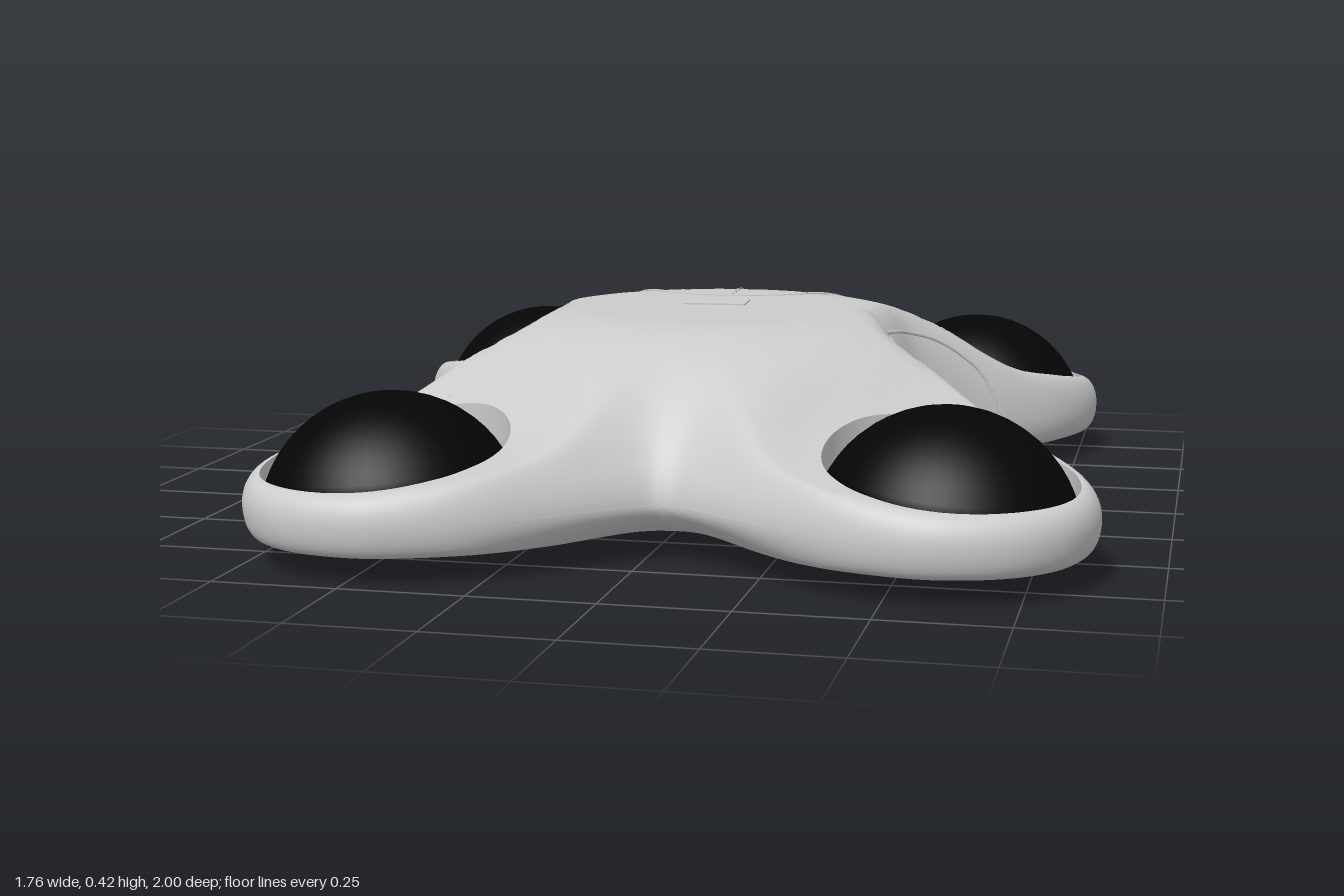
import * as THREE from 'three';
import { mergeVertices } from 'three/addons/utils/BufferGeometryUtils.js';

const V2 = (x, y) => new THREE.Vector2(x, y);
const { smoothstep, lerp } = THREE.MathUtils;

const HUB = V2(0.551, 0.683);  // centre of one arm-end opening
const HOLE = 0.244;            // its radius
const EDGE_Y = 0.115;          // height of the widest line of the shell

// Outline of one quarter of the shell, from the front notch round the arm to the waist
const outline = new THREE.SplineCurve([
  [0, 0.69], [0.03, 0.696], [0.09, 0.737], [0.187, 0.814], [0.31, 0.9], [0.43, 0.949], [0.55, 0.966],
  [0.684, 0.93], [0.783, 0.84], [0.833, 0.7], [0.816, 0.58], [0.745, 0.455], [0.64, 0.345], [0.54, 0.255],
  [0.456, 0.14], [0.433, 0.06], [0.415, 0],
].map(([x, z]) => V2(x, z))).getPoints(72);

// Distance from a point to the outline
function edgeDistance(x, z) {
  let best = Infinity;
  for (let i = 0; i < outline.length - 1; i++) {
    const a = outline[i], b = outline[i + 1];
    const dx = b.x - a.x, dz = b.y - a.y;
    const t = THREE.MathUtils.clamp(((x - a.x) * dx + (z - a.y) * dz) / (dx * dx + dz * dz), 0, 1);
    best = Math.min(best, Math.hypot(x - a.x - t * dx, z - a.y - t * dz));
  }
  return best;
}

const hubDistance = (x, z) => Math.hypot(x - HUB.x, z - HUB.y);

// Rounded shoulder: 0 on the outline, 1 well inside; steep at the waist, narrow round the openings
function shoulder(x, z, scale) {
  const bodyWidth = lerp(0.1, 0.23, smoothstep(z, 0.1, 0.55));
  const width = scale * lerp(0.037, bodyWidth, smoothstep(hubDistance(x, z), 0.29, 0.55));
  const k = 1 - Math.min(1, edgeDistance(x, z) / width);
  return Math.sqrt(1 - k * k);
}

// Upper skin: flat middle, falling along the arms, with a dip beside each opening
function topY(px, pz) {
  const x = Math.abs(px), z = Math.abs(pz), r = Math.hypot(x, z);
  const dip = 0.035 * (1 - smoothstep(hubDistance(x, z), 0.25, 0.4)) * (1 - smoothstep(r, 0.6, 0.9));
  const h = lerp(0.42, 0.2, smoothstep(r, 0.3, 0.95)) - dip - 0.03 * smoothstep(r, 0.88, 1.13);
  return lerp(EDGE_Y, h, shoulder(x, z, 1));
}

function bottomY(px, pz) {
  const x = Math.abs(px), z = Math.abs(pz);
  const h = lerp(0.017, 0.052, smoothstep(Math.hypot(x, z), 0.1, 1.0));
  return lerp(EDGE_Y, h, shoulder(x, z, 0.8));
}

// Closed border of the quarter: outline, then the two symmetry axes, denser near the outline
function quarterBorder() {
  const border = outline.map((p) => p.clone());
  for (let i = 1; i <= 16; i++) border.push(V2(0.415 * (1 - (i / 16) ** 2), 0));
  for (let i = 1; i <= 20; i++) border.push(V2(0, 0.69 * (1 - (1 - i / 20) ** 2)));
  return border;
}

// Mirrors a quarter grid into all four quarters and welds it
function mirroredGrid(columns, flip) {
  const pos = [], idx = [];
  const rows = columns[0].length;
  for (const sx of [1, -1]) for (const sz of [1, -1]) {
    const base = pos.length / 3;
    const turned = (sx * sz < 0) !== flip;
    columns.forEach((col, i) => col.forEach((p, j) => {
      pos.push(p.x * sx, p.y, p.z * sz);
      if (i === columns.length - 1 || j === rows - 1) return;
      const a = base + i * rows + j, b = a + 1, c = a + rows, d = c + 1;
      if (turned) idx.push(a, c, b, b, c, d);
      else idx.push(a, b, c, b, d, c);
    }));
  }
  let geo = new THREE.BufferGeometry();
  geo.setAttribute('position', new THREE.Float32BufferAttribute(pos, 3));
  geo.setIndex(idx);
  geo = mergeVertices(geo, 1e-5);
  geo.computeVertexNormals();
  return geo;
}

// Columns run from the rim of the opening out to the border
const rimPoint = (p) => p.clone().sub(HUB).setLength(HOLE).add(HUB);
function surfaceColumns(border, heightAt) {
  const N = 20;
  return border.map((p) => Array.from({ length: N + 1 }, (_, j) => {
    const q = rimPoint(p).lerp(p, 1 - (1 - j / N) ** 2);
    return new THREE.Vector3(q.x, heightAt(q.x, q.y), q.y);
  }));
}

// Thin raised seam along 3D points
function seam(name, points, material, closed = false) {
  const curve = new THREE.CatmullRomCurve3(points, closed);
  const mesh = new THREE.Mesh(new THREE.TubeGeometry(curve, points.length * 2, 0.004, 5, closed), material);
  mesh.name = name;
  return mesh;
}

// Moves outwards at a given height until the side wall is reached
function sideX(y, z) {
  let x = 0.15;
  while (x < 0.8 && y < topY(x, z) && y > bottomY(x, z) && edgeDistance(x, Math.abs(z)) > 0.004) x += 0.002;
  return x;
}

export function createModel() {
  const model = new THREE.Group();
  const body = new THREE.Group();
  body.name = 'body';
  body.rotation.y = 0.066;
  model.add(body);

  const grey = new THREE.MeshStandardMaterial({ color: 0xcccccc });
  const greyDouble = new THREE.MeshStandardMaterial({ color: 0xcccccc, side: THREE.DoubleSide });
  const black = new THREE.MeshStandardMaterial({ color: 0x050505, side: THREE.DoubleSide });
  const add = (name, geo, mat) => {
    const mesh = new THREE.Mesh(geo, mat);
    mesh.name = name;
    body.add(mesh);
    return mesh;
  };

  // Shell: upper and lower skins and the walls of the four openings
  const border = quarterBorder();
  add('upperShell', mirroredGrid(surfaceColumns(border, topY), false), grey);
  add('lowerShell', mirroredGrid(surfaceColumns(border, bottomY), true), grey);
  const walls = border.map((p) => {
    const r = rimPoint(p);
    return [topY, bottomY].map((f) => new THREE.Vector3(r.x, f(r.x, r.y), r.y));
  });
  add('openingWalls', mirroredGrid(walls, true), greyDouble);

  // Black domes, leaning outwards
  const R = 0.236, H = 0.15;
  const sphereR = (R * R + H * H) / (2 * H);
  const span = Math.asin(R / sphereR);
  const profile = [V2(0, 0)];
  for (let i = 0; i <= 10; i++) {
    const a = span * (1 - i / 10);
    profile.push(V2(sphereR * Math.sin(a), H - sphereR + sphereR * Math.cos(a)));
  }
  const domeGeo = new THREE.LatheGeometry(profile, 40);
  for (const sx of [1, -1]) for (const sz of [1, -1]) {
    const dome = add('dome', domeGeo, black);
    dome.position.set(sx * HUB.x, 0.173, sz * HUB.y);
    dome.rotation.set(sz * 0.08, 0, -sx * 0.08);
  }

  // Shallow round foot under the middle
  const foot = add('foot', new THREE.SphereGeometry(1, 36, 12), grey);
  foot.scale.set(0.18, 0.012, 0.18);
  foot.position.y = 0.012;

  // Rear hatch seam and its dashed centre line
  const half = [[0.13, -0.22], [0.24, -0.33], [0.285, -0.45], [0.255, -0.6], [0.26, -0.75], [0.3, -0.88]];
  const hatch = new THREE.SplineCurve([
    ...half.map(([x, z]) => V2(-x, z)).reverse(), V2(0, -0.19), ...half.map(([x, z]) => V2(x, z)),
  ]).getPoints(60);
  const onTop = (p) => new THREE.Vector3(p.x, topY(p.x, p.y), p.y);
  body.add(seam('hatchSeam', hatch.map(onTop), grey));
  for (let z = -0.2; z > -0.67; z -= 0.04) {
    body.add(seam('hatchDash', [0, 0.012, 0.024].map((s) => onTop(V2(0, z - s))), grey));
  }

  // Small rectangular button on top
  const button = add('button', new THREE.BoxGeometry(0.135, 0.008, 0.085), grey);
  button.position.set(-0.01, 0.419, -0.055);

  // Side panel seams
  const panel = new THREE.SplineCurve([
    [0.3, 0.1], [0.31, 0.2], [0.28, 0.28], [0.2, 0.335], [0, 0.365], [-0.2, 0.335], [-0.28, 0.28],
    [-0.31, 0.2], [-0.3, 0.1], [-0.18, 0.07], [0, 0.065], [0.18, 0.07], [0.3, 0.1],
  ].map(([z, y]) => V2(z, y))).getPoints(72).slice(0, -1);
  for (const s of [1, -1]) {
    const pts = panel.map((p) => new THREE.Vector3(s * sideX(p.y, p.x), p.y, p.x));
    body.add(seam('sidePanelSeam', pts, grey, true));
  }

  return model;
}
